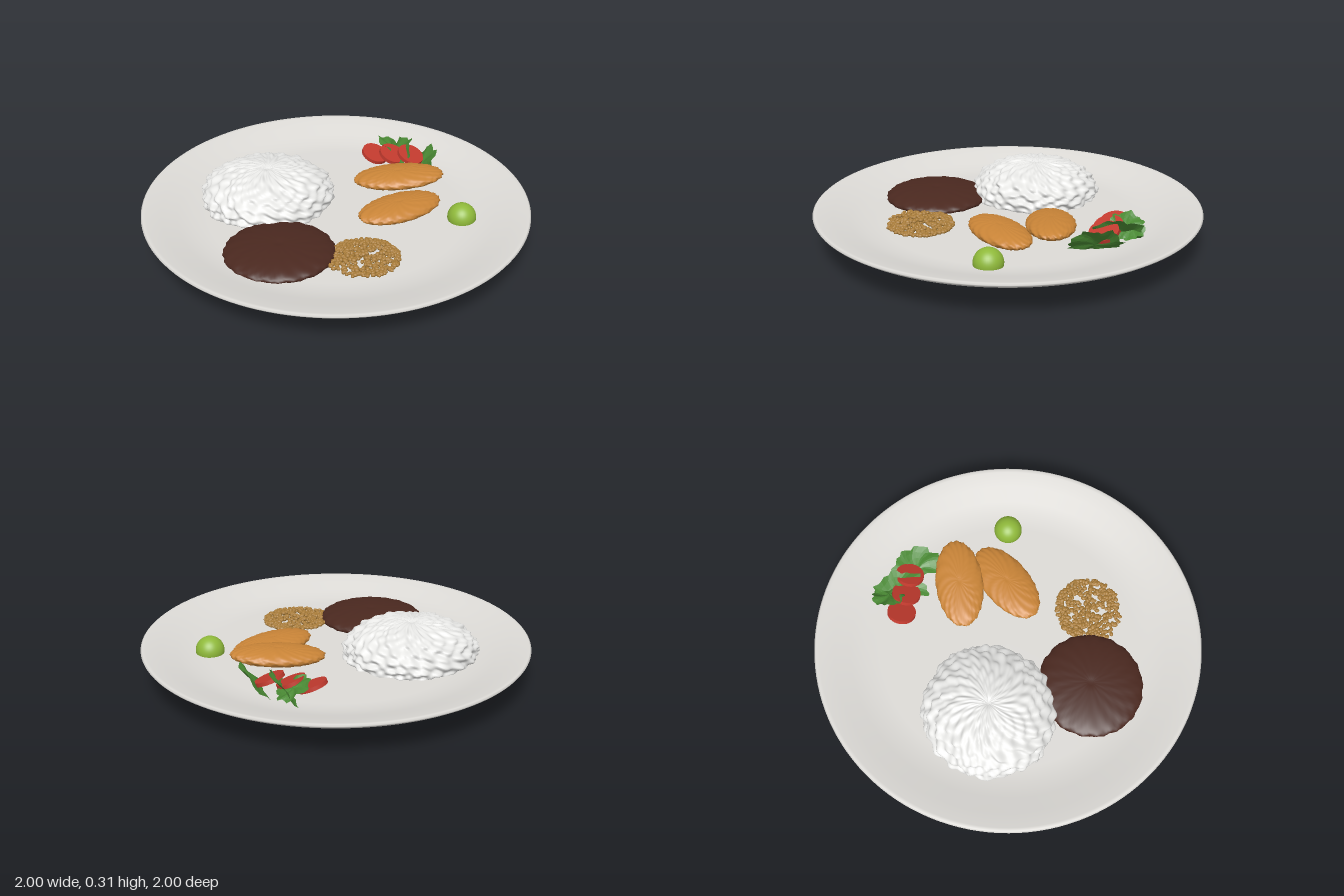
import * as THREE from 'three';
import { mergeVertices, mergeGeometries } from 'three/addons/utils/BufferGeometryUtils.js';

const mat = (name, color, extra = {}) => {
  const m = new THREE.MeshStandardMaterial({ color, ...extra });
  m.name = name;
  return m;
};

// Seeded random numbers
let seed = 7;
const rand = () => {
  seed = (seed * 16807) % 2147483647;
  return seed / 2147483647;
};

// Small dent at the top and bottom of a blob
const dent = (f) => 0.09 * Math.exp(-((Math.sin(f) / 0.07) ** 2));

// Ellipsoid whose surface is scaled by bump(theta, phi); phi runs from the top
function blob(rx, ry, rz, bump, ws = 96, hs = 48) {
  let g = new THREE.SphereGeometry(1, ws, hs);
  g.deleteAttribute('uv');
  g.deleteAttribute('normal');
  g = mergeVertices(g, 1e-4);
  const p = g.attributes.position, v = new THREE.Vector3();
  for (let i = 0; i < p.count; i++) {
    v.fromBufferAttribute(p, i);
    const s = bump(Math.atan2(v.z, v.x), Math.acos(THREE.MathUtils.clamp(v.y, -1, 1)));
    p.setXYZ(i, v.x * rx * s, v.y * ry * s, v.z * rz * s);
  }
  g.computeVertexNormals();
  return g;
}

// Ragged, gently waved leaf lying in the xz plane
function leafGeometry(rx, rz, phase) {
  const g = new THREE.RingGeometry(0.001, 1, 36, 4);
  const p = g.attributes.position;
  for (let i = 0; i < p.count; i++) {
    const x = p.getX(i), y = p.getY(i), r = Math.hypot(x, y), a = Math.atan2(y, x);
    const s = 1 + r * r * (0.07 * Math.sin(13 * a + phase) + 0.06 * Math.sin(7 * a + 2 * phase));
    p.setXYZ(i, x * rx * s, y * rz * s, 0.009 * r * Math.sin(5 * a + phase + 3 * r));
  }
  g.rotateX(-Math.PI / 2);
  g.computeVertexNormals();
  return g;
}

export function createModel() {
  seed = 7;
  const root = new THREE.Group();
  const add = (name, geometry, material, pos = [0, 0, 0], rot = [0, 0, 0], parent = root) => {
    const m = new THREE.Mesh(geometry, material);
    m.name = name;
    m.position.set(...pos);
    m.rotation.set(...rot);
    parent.add(m);
    return m;
  };
  const group = (name) => {
    const g = new THREE.Group();
    g.name = name;
    root.add(g);
    return g;
  };

  const plateMat = mat('plate porcelain', 0xdcdad6, { side: THREE.DoubleSide });
  const riceMat = mat('rice white', 0xececea);
  const beanMat = mat('bean brown', 0x4a281f);
  const grainMat = mat('toasted grain', 0xa97c38);
  const chickenMat = mat('fried golden', 0xc98437);
  const limeMat = mat('lime green', 0x8fb93a);
  const tomatoMat = mat('tomato red', 0xc23a2e);
  const leafMat = mat('lettuce green', 0x4a8a34, { side: THREE.DoubleSide, flatShading: true });

  // Plate with a flat well and a sloping rim
  const profile = [[0, 0.06], [0.7, 0.06], [0.73, 0.062], [0.78, 0.078], [0.86, 0.117], [0.97, 0.162],
    [0.995, 0.178], [1, 0.186], [0.992, 0.193], [0.975, 0.191], [0.9, 0.175], [0.82, 0.15],
    [0.74, 0.133], [0.66, 0.127], [0, 0.127]];
  add('plate', new THREE.LatheGeometry(profile.map(([x, y]) => new THREE.Vector2(x, y)), 128), plateMat);

  // Rice mound with irregular swirling ridges, narrowing underneath
  const rice = (t, f) => 1 - dent(f)
    - (f > Math.PI / 2 ? 0.06 * Math.sin(2 * f) ** 2 : 0)
    + Math.min(1, 2 * Math.sin(f)) * (0.02 * Math.sin(11 * t + 9 * f + 2 * Math.sin(3 * t + 4 * f))
      + 0.02 * Math.sin(19 * t - 13 * f + 2 * Math.sin(2 * t + 7 * f))
      + 0.012 * Math.sin(33 * t + 21 * f + 2 * Math.sin(5 * t)))
    + 0.016 * Math.sin(24 * f + 5 * t + 2 * Math.sin(4 * t)) * Math.sin(f);
  add('rice', blob(0.345, 0.155, 0.33, rice, 180, 80), riceMat, [-0.32, 0.156, -0.22]);

  // Bean serving, a low dome
  const beans = (t, f) => 1 - dent(f)
    + Math.sin(f) * (0.01 * Math.sin(17 * t + 5 * f) + 0.009 * Math.sin(29 * t - 11 * f));
  add('beans', blob(0.275, 0.053, 0.268, beans), beanMat, [-0.36, 0.135, 0.32]);

  // Fried cutlets, the back one resting on the front one
  const crust = (t, f) => 1 - dent(f)
    + Math.min(1, 2 * Math.sin(f)) * (0.015 * Math.sin(17 * t + 8 * f + 2 * Math.sin(3 * t))
      + 0.014 * Math.sin(31 * t - 12 * f + 2 * Math.sin(4 * t)));
  const cutlet = blob(0.235, 0.043, 0.123, crust);
  add('backCutlet', cutlet, chickenMat, [0.375, 0.212, -0.135], [0, -0.22, 0.08]);
  add('frontCutlet', cutlet, chickenMat, [0.313, 0.168, 0.106], [0, 0.3, 0]);

  // Lime
  add('lime', new THREE.SphereGeometry(0.074, 40, 24), limeMat, [0.612, 0.14, 0.222]);

  // Toasted grains scattered over a round patch
  const grains = [];
  for (let i = 0; i < 480; i++) {
    const r = 0.18 * Math.sqrt(rand()), a = rand() * Math.PI * 2;
    const g = new THREE.IcosahedronGeometry(0.009 + rand() * 0.004, 1);
    g.scale(1.2, 0.85, 0.9);
    g.rotateY(rand() * 3);
    g.translate(0.03 + r * Math.cos(a), 0.131 + rand() * 0.025 * (1 - r / 0.2), 0.462 + 0.93 * r * Math.sin(a));
    grains.push(g);
  }
  add('toastedGrains', mergeGeometries(grains), grainMat);

  // Lettuce leaves, steeply leaning and tucked into the plate
  const salad = group('salad');
  [
    [0.445, 0.155, -0.44, 0.135, 0.14, 0.4, 0.9],
    [0.55, 0.158, -0.31, 0.13, 0.13, 1.9, 0.9],
    [0.445, 0.2, -0.5, 0.09, 0.09, 3.3, -0.5],
  ].forEach(([x, y, z, rx, rz, phase, tilt]) =>
    add('lettuceLeaf', leafGeometry(rx, rz, phase), leafMat, [x, y, z], [0, -0.15, tilt], salad));

  // Tomato slices, leaning toward the front left
  const slice = new THREE.CylinderGeometry(0.074, 0.074, 0.02, 36);
  [
    [0.335, 0.18, -0.47],
    [0.42, 0.195, -0.415],
    [0.51, 0.205, -0.365],
  ].forEach(([x, y, z]) => add('tomatoSlice', slice, tomatoMat, [x, y, z], [0.3, 0, -0.27], salad));

  return root;
}
